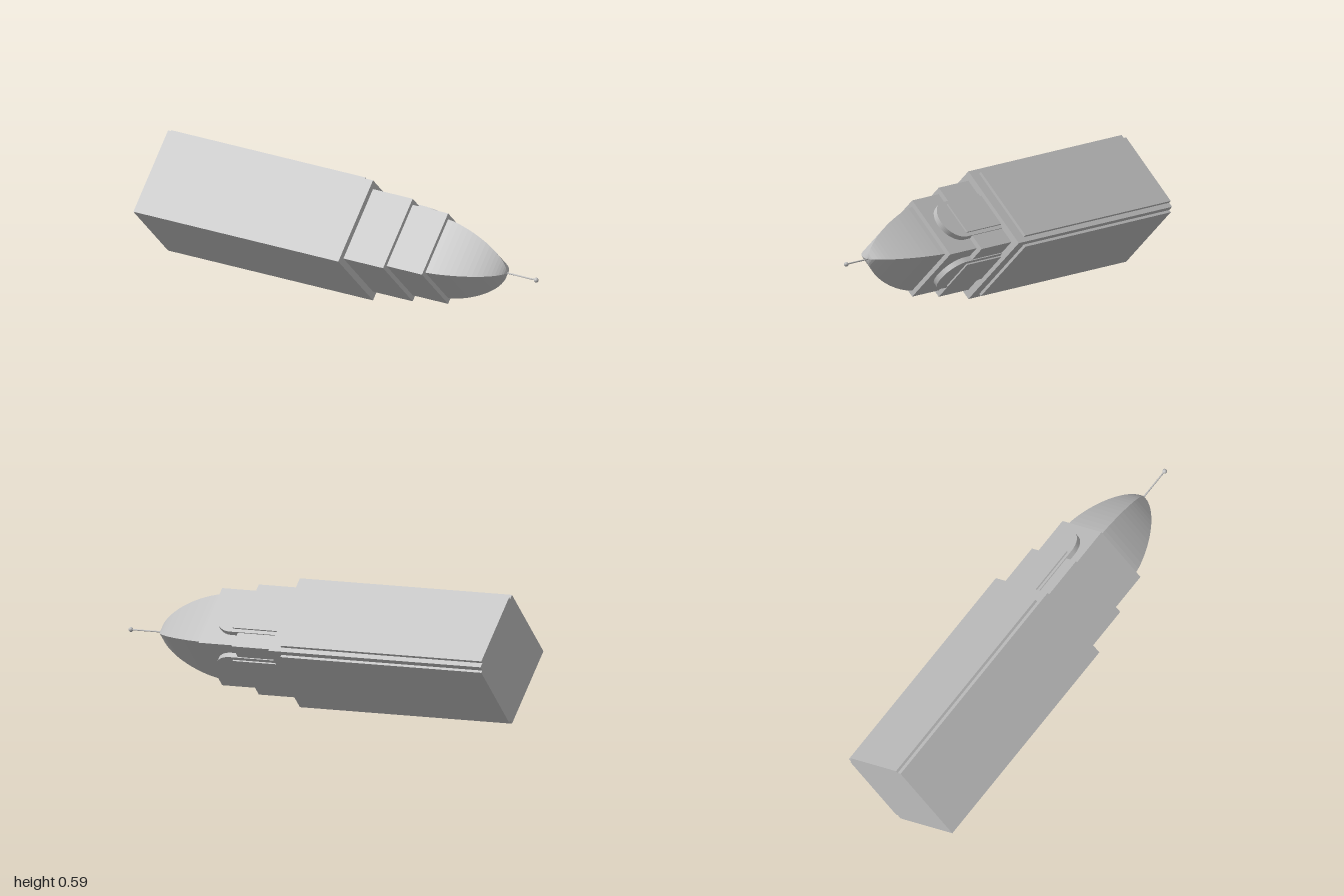
import * as THREE from 'three';

const stone = new THREE.MeshStandardMaterial({ color: 0xc0c0c0 });
stone.name = 'pale grey';

function add(parent, name, geometry) {
  const mesh = new THREE.Mesh(geometry, stone);
  mesh.name = name;
  parent.add(mesh);
  return mesh;
}

// Block running along x from x0 to x1, centred on (y, z)
function block(parent, name, x0, x1, height, depth, y = 0, z = 0) {
  const mesh = add(parent, name, new THREE.BoxGeometry(x1 - x0, height, depth));
  mesh.position.set((x0 + x1) / 2, y, z);
  return mesh;
}

// Square dome with a curved profile, pointing along +x
function domeGeometry(x0, x1, halfDiagonal) {
  const rings = 18;
  const points = [];
  for (let i = 0; i <= rings; i++) {
    const t = Math.sin((i / rings) * Math.PI / 2);
    const r = i === rings ? 0 : halfDiagonal * Math.pow(1 - Math.pow(t, 1.4), 0.57);
    points.push(new THREE.Vector2(r, x0 + (x1 - x0) * t));
  }
  const geometry = new THREE.LatheGeometry(points, 4, Math.PI / 4).toNonIndexed();
  geometry.computeVertexNormals();
  geometry.rotateZ(-Math.PI / 2);
  return geometry;
}

// Slab with a half-round end towards +x, facing -z
function archGeometry(x0, xCentre, radius, depth) {
  const shape = new THREE.Shape();
  shape.moveTo(x0, -radius);
  shape.lineTo(xCentre, -radius);
  shape.absarc(xCentre, 0, radius, -Math.PI / 2, Math.PI / 2, false);
  shape.lineTo(x0, radius);
  shape.closePath();
  return new THREE.ExtrudeGeometry(shape, { depth, bevelEnabled: false, curveSegments: 20 });
}

export function createModel() {
  const model = new THREE.Group();
  model.name = 'lyingTower';

  // The tower lies on its edge, turned slightly about the vertical
  const tower = new THREE.Group();
  tower.name = 'tower';
  tower.rotation.set(Math.PI / 4, 0.0413, 0, 'YXZ');
  tower.position.set(0, 0.297, -0.021);
  model.add(tower);

  // Shaft and stepped tiers: start, end, side length
  [
    ['shaft', -0.988, 0.112, 0.418],
    ['lowerTier', 0.112, 0.325, 0.357],
    ['upperTier', 0.325, 0.515, 0.315],
  ].forEach(([name, x0, x1, side]) => block(tower, name, x0, x1, side, side));

  // Dome, mast and ball
  add(tower, 'dome', domeGeometry(0.515, 0.832, 0.194));
  const mast = add(tower, 'mast', new THREE.CylinderGeometry(0.0035, 0.0035, 0.17, 10));
  mast.rotation.z = -Math.PI / 2;
  mast.position.x = 0.9;
  add(tower, 'ball', new THREE.SphereGeometry(0.011, 16, 12)).position.x = 0.988;

  // Raised panel, arch and plate on each of the two rear faces
  ['upperRearFace', 'lowerRearFace'].forEach((name, i) => {
    const face = new THREE.Group();
    face.name = name;
    face.rotation.x = -i * Math.PI / 2;
    tower.add(face);
    block(face, 'shaftPanel', -0.988, 0.055, 0.37, 0.03, 0, -0.207);
    add(face, 'arch', archGeometry(0.105, 0.365, 0.1, 0.04)).position.z = -0.183;
    block(face, 'archPlate', 0.105, 0.355, 0.164, 0.02, 0, -0.18);
  });

  return model;
}
